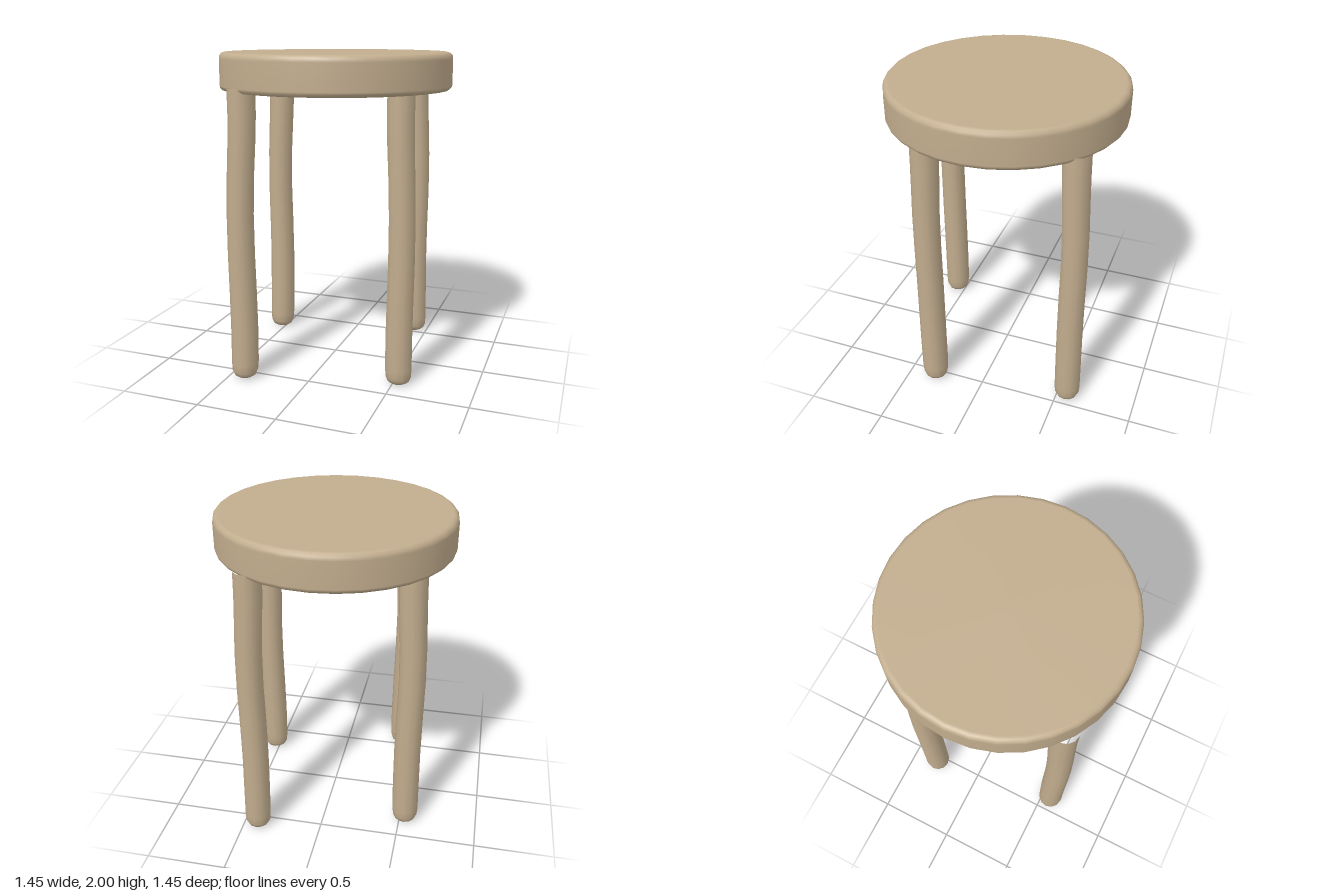
import * as THREE from 'three';

const wood = new THREE.MeshStandardMaterial({ color: 0xc2ad8e });
wood.name = 'paleWood';

const profile = (pairs) => pairs.map(([r, y]) => new THREE.Vector2(r, y));

// Round seat with softly rounded rims; points close to the rims keep the flats flat
function makeSeat() {
  const points = profile([
    [0, 1.77], [0.69, 1.77], [0.708, 1.773], [0.722, 1.787], [0.725, 1.8],
    [0.725, 1.96], [0.722, 1.98], [0.708, 1.995], [0.69, 2], [0, 2],
  ]);
  const seat = new THREE.Mesh(new THREE.LatheGeometry(points, 32), wood);
  seat.name = 'seat';
  return seat;
}

// Slightly uneven leg with a rounded foot; it leans inward near the seat
function makeLeg(name, x, z, phase) {
  const points = profile([
    [0, 0], [0.045, 0.003], [0.068, 0.018], [0.08, 0.045], [0.084, 0.1],
    [0.084, 0.3], [0.083, 0.55], [0.082, 0.8], [0.081, 1.05], [0.081, 1.3],
    [0.082, 1.5], [0.083, 1.65], [0.083, 1.8],
  ]);
  const geometry = new THREE.LatheGeometry(points, 12);
  const pos = geometry.attributes.position;
  const length = Math.hypot(x, z);
  for (let i = 0; i < pos.count; i++) {
    const y = pos.getY(i);
    const lean = -0.022 * THREE.MathUtils.smoothstep(y, 1.1, 1.75);
    const wobble = 0.003 * Math.sin(y * 5 + phase);
    pos.setX(i, pos.getX(i) + (x / length) * lean + wobble);
    pos.setZ(i, pos.getZ(i) + (z / length) * lean - wobble);
  }
  const leg = new THREE.Mesh(geometry, wood);
  leg.name = name;
  leg.position.set(x, 0, z);
  return leg;
}

export function createModel() {
  const stool = new THREE.Group();
  stool.name = 'stool';
  stool.add(makeSeat());

  // Two opposite pairs of legs
  const legs = [
    ['frontRightLeg', -0.405, 0.56],
    ['backLeftLeg', 0.405, -0.56],
    ['frontLeftLeg', 0.53, 0.323],
    ['backRightLeg', -0.53, -0.323],
  ];
  legs.forEach(([name, x, z], i) => stool.add(makeLeg(name, x, z, i * 1.7)));
  return stool;
}
